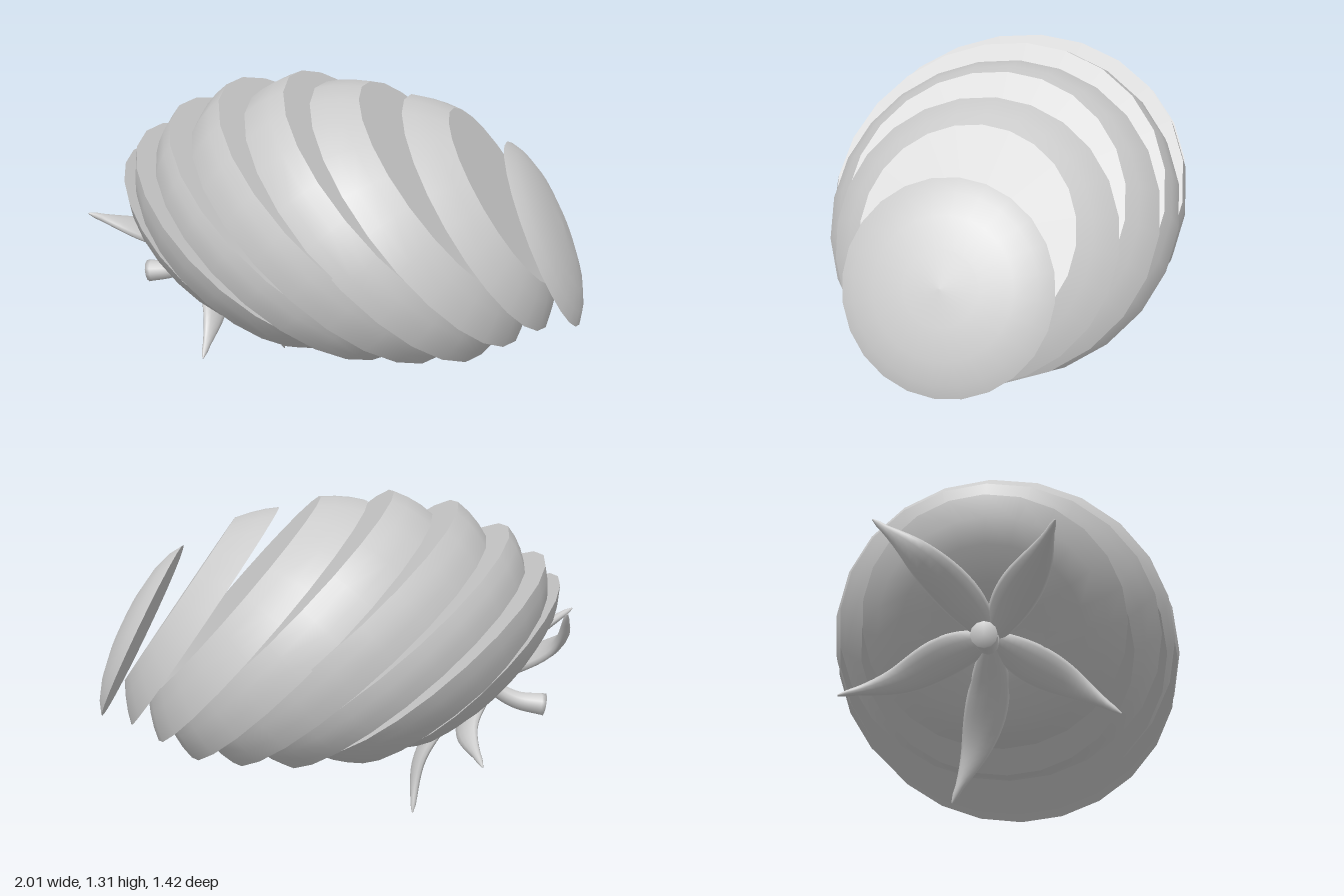
import * as THREE from 'three';
import { mergeGeometries } from 'three/addons/utils/BufferGeometryUtils.js';

const SEGMENTS = 24;
const material = new THREE.MeshStandardMaterial({ color: 0xcccccc, side: THREE.DoubleSide });

const lathe = (pts) => new THREE.LatheGeometry(pts.map(([r, h]) => new THREE.Vector2(r, h)), SEGMENTS);

// Solid of revolution: smooth skin with sharp, flat cut faces.
// Profile runs bottom to top; open ends are closed with discs.
function slice(name, profile, [x, y, z], degrees) {
  const parts = [lathe(profile)];
  const [r0, h0] = profile[0];
  const [r1, h1] = profile[profile.length - 1];
  if (r0 > 0) parts.push(lathe([[0, h0], [r0, h0]]));
  if (r1 > 0) parts.push(lathe([[r1, h1], [0, h1]]));
  const mesh = new THREE.Mesh(mergeGeometries(parts), material);
  mesh.name = name;
  mesh.position.set(x, y, z);
  mesh.rotation.z = THREE.MathUtils.degToRad(degrees - 90);
  return mesh;
}

// Loft an elliptical section along a curve; size(t) gives [half width, half thickness].
function sweep(name, points, size, facing) {
  const curve = new THREE.CatmullRomCurve3(points.map((p) => new THREE.Vector3(...p)));
  const steps = 20, sides = 12, pos = [], index = [];
  for (let i = 0; i <= steps; i++) {
    const t = i / steps;
    const centre = curve.getPoint(t);
    const tangent = curve.getTangent(t);
    const across = new THREE.Vector3().crossVectors(tangent, facing).normalize();
    const up = new THREE.Vector3().crossVectors(across, tangent);
    const [w, h] = size(t);
    for (let j = 0; j < sides; j++) {
      const a = (j / sides) * Math.PI * 2;
      const p = centre.clone().addScaledVector(across, w * Math.cos(a)).addScaledVector(up, h * Math.sin(a));
      pos.push(p.x, p.y, p.z);
      if (i < steps) {
        const a0 = i * sides + j, b0 = i * sides + (j + 1) % sides;
        index.push(a0, a0 + sides, b0, b0, a0 + sides, b0 + sides);
      }
    }
  }
  // Close both ends.
  for (const [ring, t] of [[0, 0], [steps, 1]]) {
    const c = curve.getPoint(t);
    const k = pos.length / 3;
    pos.push(c.x, c.y, c.z);
    for (let j = 0; j < sides; j++) {
      const a = ring * sides + j, b = ring * sides + (j + 1) % sides;
      index.push(k, ...(t ? [b, a] : [a, b]));
    }
  }
  // Wind the faces outward.
  for (let i = 0; i < index.length; i += 3) [index[i + 1], index[i + 2]] = [index[i + 2], index[i + 1]];
  const geometry = new THREE.BufferGeometry();
  geometry.setAttribute('position', new THREE.Float32BufferAttribute(pos, 3));
  geometry.setIndex(index);
  geometry.computeVertexNormals();
  const mesh = new THREE.Mesh(geometry, material);
  mesh.name = name;
  return mesh;
}

export function createModel() {
  const model = new THREE.Group();
  model.name = 'slicedTomato';

  // Stem end, dimpled under the calyx
  model.add(slice('stemEndSlice',
    [[0, -0.07], [0.08, -0.085], [0.2, -0.105], [0.34, -0.095], [0.43, -0.06], [0.5, 0]],
    [-0.535, 0.61, 0], 45));

  // Middle slices: centre of lower face, axis angle, lower radius, upper radius, thickness
  const slices = [
    [-0.438, 0.534, 50, 0.52, 0.63, 0.147],
    [-0.248, 0.608, 50, 0.65, 0.69, 0.153],
    [-0.065, 0.665, 48.5, 0.70, 0.705, 0.18],
    [0.128, 0.72, 45, 0.705, 0.66, 0.175],
    [0.325, 0.78, 41.6, 0.655, 0.54, 0.152],
    [0.56, 0.795, 34.9, 0.543, 0.405, 0.125],
  ];
  slices.forEach(([x, y, angle, r0, r1, t], i) => {
    const profile = [0, 0.33, 0.67, 1].map((s) => [r0 + (r1 - r0) * s + 0.04 * s * (1 - s), t * s]);
    model.add(slice('slice' + (i + 1), profile, [x, y, 0], angle));
  });

  // Rounded blossom end
  model.add(slice('blossomEndSlice',
    [[0.395, 0], [0.345, 0.032], [0.26, 0.062], [0.14, 0.082], [0, 0.088]],
    [0.825, 0.725, 0.025], 26));

  // Calyx: pointed leaves curling away from the stem
  const calyx = new THREE.Group();
  calyx.name = 'calyx';
  const axis = new THREE.Vector3(-0.707, -0.707, 0.01);
  const base = [-0.6, 0.53, 0];
  const leaves = [
    [[-0.72, 0.62, 0.09], [-0.86, 0.7, 0.19], [-1.0, 0.77, 0.26]],
    [[-0.73, 0.63, -0.1], [-0.86, 0.75, -0.25], [-0.86, 0.9, -0.41]],
    [[-0.44, 0.37, -0.03], [-0.33, 0.2, -0.09], [-0.3, 0, -0.18]],
    [[-0.53, 0.46, 0.13], [-0.48, 0.38, 0.29], [-0.48, 0.26, 0.46]],
    [[-0.56, 0.49, -0.16], [-0.5, 0.42, -0.36], [-0.54, 0.35, -0.58]],
  ];
  const leafSize = (t) => {
    const w = 0.03 + 0.055 * Math.sin(Math.PI * Math.min(1, t * 1.1));
    const taper = Math.sqrt(Math.max(0, 1 - t * t));
    return [w * taper + 0.003, 0.026 * taper + 0.003];
  };
  leaves.forEach((path, i) => calyx.add(sweep('leaf' + (i + 1), [base, ...path], leafSize, axis)));

  // Stem, flaring at the cut end
  calyx.add(sweep('stem', [[-0.58, 0.56, 0], [-0.65, 0.485, 0], [-0.74, 0.435, 0], [-0.855, 0.415, 0]],
    (t) => [0.03 + 0.018 * t * t, 0.03 + 0.018 * t * t], new THREE.Vector3(0, 0, 1)));
  model.add(calyx);
  return model;
}
